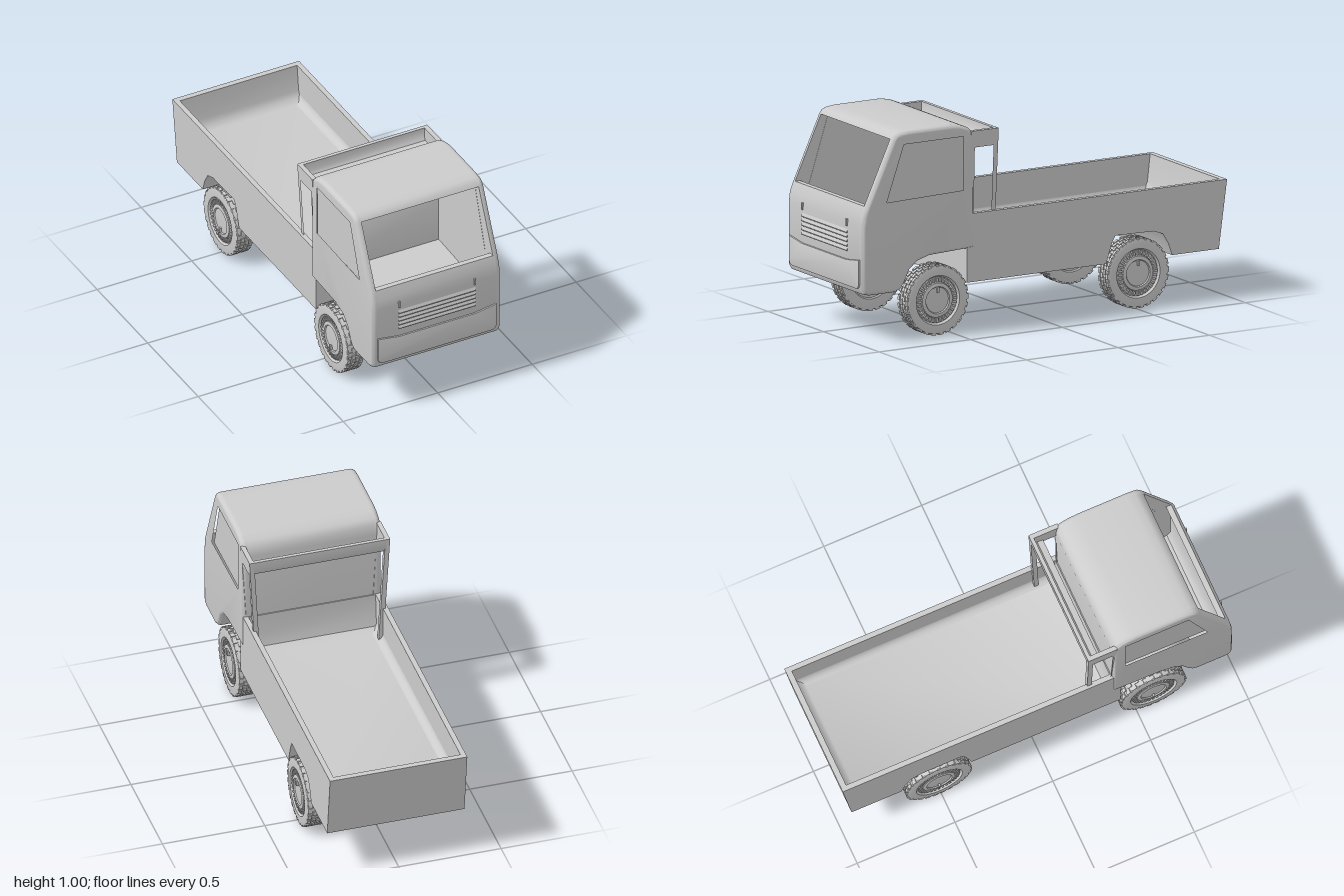
import * as THREE from 'three';
import { mergeGeometries, toCreasedNormals } from 'three/addons/utils/BufferGeometryUtils.js';

const material = new THREE.MeshStandardMaterial({ color: 0xcccccc });

function add(parent, name, geometry) {
  const mesh = new THREE.Mesh(geometry, material);
  mesh.name = name;
  parent.add(mesh);
  return mesh;
}

// Extrudes a (z, y) outline across x from x0 to x1.
function slab(points, x0, x1, holes = []) {
  const toPath = (P, pts) => new P(pts.map(([z, y]) => new THREE.Vector2(-z, y)));
  const shape = toPath(THREE.Shape, points);
  shape.holes = holes.map((h) => toPath(THREE.Path, h));
  const g = new THREE.ExtrudeGeometry(shape, { depth: x1 - x0, bevelEnabled: false });
  g.rotateY(Math.PI / 2).translate(x0, 0, 0);
  return toCreasedNormals(g, 0.65);
}

// The same on the left (s = 1) or right (s = -1), between distances a < b from the middle.
function sideSlab(points, a, b, s, holes) {
  return s > 0 ? slab(points, a, b, holes) : slab(points, -b, -a, holes);
}

// Side skin of the cab: edges rounded on the outside, flat on the inside.
function sideSkin(points, hole, s) {
  const depth = 0.006;
  const v = ([z, y]) => new THREE.Vector2(-z, y);
  const shape = new THREE.Shape(points.map(v));
  shape.holes.push(new THREE.Path(hole.map(v)));
  const g = new THREE.ExtrudeGeometry(shape, {
    depth, bevelThickness: 0.024, bevelSize: 0.018, bevelOffset: -0.018, bevelSegments: 5,
  });
  const p = g.attributes.position;
  for (let i = 0; i < p.count; i++) {
    p.setZ(i, s > 0 ? Math.max(p.getZ(i), 0) : Math.min(p.getZ(i), depth));
  }
  g.rotateY(Math.PI / 2).translate(s > 0 ? 0.31 : -0.31 - depth, 0, 0);
  return toCreasedNormals(g, 0.65);
}

function box(w, h, d, x, y, z) {
  return new THREE.BoxGeometry(w, h, d).translate(x, y, z);
}

function makeCab() {
  const cab = new THREE.Group();
  cab.name = 'cab';
  // outer outline, split at the windscreen opening
  const lower = [
    [0.38, 0.395], [0.62, 0.385], [0.69, 0.365], [0.73, 0.33], [0.76, 0.27], [0.78, 0.242],
    [0.81, 0.23], [0.95, 0.23], [0.98, 0.238], [0.992, 0.262], [0.992, 0.56], [0.986, 0.61], [0.967, 0.657],
  ];
  const upper = [
    [0.826, 0.962], [0.812, 0.982], [0.785, 0.992], [0.74, 0.996], [0.50, 0.996],
    [0.45, 0.988], [0.41, 0.972], [0.388, 0.95], [0.38, 0.90],
  ];
  // hollow inside: sill, front wall, floor over the wheels, back wall, roof
  const inside = [
    [0.94, 0.657], [0.958, 0.60], [0.964, 0.54], [0.964, 0.29], [0.945, 0.262], [0.83, 0.262], [0.80, 0.29],
    [0.76, 0.36], [0.70, 0.405], [0.62, 0.418], [0.43, 0.425], [0.43, 0.657], [0.405, 0.70],
    [0.41, 0.92], [0.43, 0.95], [0.48, 0.965], [0.78, 0.965],
  ];
  add(cab, 'cabShell', slab([...lower, ...inside, ...upper], -0.31, 0.31));

  const sideWindow = [[0.882, 0.652], [0.78, 0.953], [0.425, 0.953], [0.425, 0.66]];
  const pane = [[0.89, 0.64], [0.785, 0.965], [0.41, 0.965], [0.41, 0.645]];
  for (const s of [1, -1]) {
    const side = s > 0 ? 'left' : 'right';
    add(cab, side + 'CabSide', sideSkin([...lower, ...upper], sideWindow, s));
    add(cab, side + 'Window', sideSlab(pane, 0.309, 0.32, s));
  }

  // bumper panel with a raised line towards its ends
  const b = new THREE.Shape();
  b.moveTo(-0.285, 0.262).lineTo(0.285, 0.262).quadraticCurveTo(0.313, 0.262, 0.313, 0.292);
  b.lineTo(0.313, 0.403).lineTo(0.2, 0.386).lineTo(-0.2, 0.386).lineTo(-0.313, 0.403).lineTo(-0.313, 0.292);
  b.quadraticCurveTo(-0.313, 0.262, -0.285, 0.262);
  const bumper = new THREE.ExtrudeGeometry(b, {
    depth: 0.014, bevelThickness: 0.004, bevelSize: 0.004, bevelOffset: -0.004, bevelSegments: 2,
  }).translate(0, 0, 0.982);
  add(cab, 'bumper', toCreasedNormals(bumper, 0.5));

  // louvred grille
  const slats = [];
  for (let i = 0; i < 5; i++) {
    const y = 0.432 + i * 0.0215;
    slats.push(slab([[0.985, y - 0.006], [0.998, y - 0.006], [0.999, y - 0.002], [0.992, y + 0.012], [0.985, y + 0.012]], -0.204, 0.204));
  }
  add(cab, 'grille', mergeGeometries(slats));

  // wiper stubs
  for (const s of [1, -1]) add(cab, 'wiperStub', box(0.008, 0.034, 0.014, s * 0.2, 0.562, 0.991));
  return cab;
}

function makeBed() {
  const bed = new THREE.Group();
  bed.name = 'bed';
  const under = [
    [0.42, 0.232], [-0.34, 0.232], [-0.355, 0.28], [-0.372, 0.33], [-0.39, 0.362], [-0.60, 0.358],
    [-0.65, 0.34], [-0.68, 0.29], [-0.70, 0.232], [-0.955, 0.232], [-1, 0.56],
  ];
  // floor with front and tail walls, coved at the ends
  const floor = [[-0.972, 0.56], [-0.957, 0.43], [-0.945, 0.40], [-0.915, 0.38], [0.32, 0.38], [0.355, 0.395], [0.37, 0.45], [0.375, 0.56], [0.42, 0.56]];
  add(bed, 'bedFloor', slab([...under, ...floor], -0.31, 0.31));
  for (const s of [1, -1]) {
    add(bed, s > 0 ? 'leftBedWall' : 'rightBedWall', sideSlab([...under, [0.42, 0.56]], 0.31, 0.335, s));
    // cove between floor and wall
    const c = new THREE.Shape();
    c.moveTo(0.312 * s, 0.375).lineTo(0.312 * s, 0.42).quadraticCurveTo(0.308 * s, 0.382, 0.265 * s, 0.378);
    const cove = new THREE.ExtrudeGeometry(c, { depth: 1.32, bevelEnabled: false, curveSegments: 6 });
    add(bed, 'floorCove', toCreasedNormals(cove.translate(0, 0, -0.95), 0.65));
  }
  return bed;
}

function makeRearFrame() {
  const frame = new THREE.Group();
  frame.name = 'rearFrame';
  // posts lean inwards down to the bed floor
  const outer = [[0.258, 0.375], [0.385, 0.375], [0.40, 0.955], [0.252, 0.955]];
  const opening = [[0.28, 0.382], [0.373, 0.382], [0.38, 0.875], [0.277, 0.875]];
  for (const s of [1, -1]) {
    const g = sideSlab(outer, 0.32, 0.343, s, [opening]);
    const p = g.attributes.position;
    for (let i = 0; i < p.count; i++) p.setX(i, p.getX(i) + s * (p.getY(i) - 0.95) * 0.055);
    add(frame, s > 0 ? 'leftPosts' : 'rightPosts', g);
  }
  // trough-shaped crossbar
  const bar = [
    [0.252, 0.955], [0.252, 0.905], [0.262, 0.885], [0.28, 0.877], [0.315, 0.877],
    [0.315, 0.892], [0.285, 0.895], [0.273, 0.91], [0.27, 0.955],
  ];
  add(frame, 'crossbar', slab(bar, -0.325, 0.325));
  return frame;
}

// Wheel with its axle along x and its outer face at +x.
function makeWheel() {
  const wheel = new THREE.Group();
  const profile = [
    [0, -0.04], [0.104, -0.04], [0.11, -0.045], [0.148, -0.045], [0.16, -0.042], [0.1635, -0.037],
    [0.1635, 0.037], [0.16, 0.042], [0.148, 0.045], [0.118, 0.045], [0.111, 0.032],
    [0.085, 0.032], [0.082, 0.041], [0.065, 0.044], [0.061, 0.038], [0, 0.041],
  ].map(([r, y]) => new THREE.Vector2(r, y));
  const tyre = new THREE.LatheGeometry(profile, 64).rotateZ(-Math.PI / 2);
  add(wheel, 'tyreAndHub', toCreasedNormals(tyre, 0.6));

  // staggered tread blocks
  const blocks = [];
  const count = 26;
  for (let row = 0; row < 4; row++) {
    for (let i = 0; i < count; i++) {
      const g = box(0.017, 0.008, 0.025, -0.0335 + row * 0.0223, 0.164, 0);
      blocks.push(g.rotateX(((i + (row % 2) / 2) / count) * Math.PI * 2));
    }
  }
  add(wheel, 'tread', mergeGeometries(blocks));

  // ring of ribs around the hub, and the valve
  const ribs = [];
  for (let i = 0; i < 32; i++) ribs.push(box(0.014, 0.021, 0.01, 0.033, 0.096, 0).rotateX((i / 32) * Math.PI * 2));
  add(wheel, 'hubRibs', mergeGeometries(ribs));
  add(wheel, 'valve', box(0.016, 0.026, 0.01, 0.043, 0.05, 0));
  return wheel;
}

export function createModel() {
  const truck = new THREE.Group();
  truck.name = 'truck';
  truck.add(makeCab(), makeBed(), makeRearFrame());
  for (const [end, z] of [['front', 0.585], ['rear', -0.51]]) {
    for (const s of [1, -1]) {
      const wheel = makeWheel();
      wheel.name = end + (s > 0 ? 'Left' : 'Right') + 'Wheel';
      wheel.position.set(s * 0.3, 0.169, z);
      if (s < 0) wheel.rotation.z = Math.PI;
      truck.add(wheel);
    }
  }
  return truck;
}
